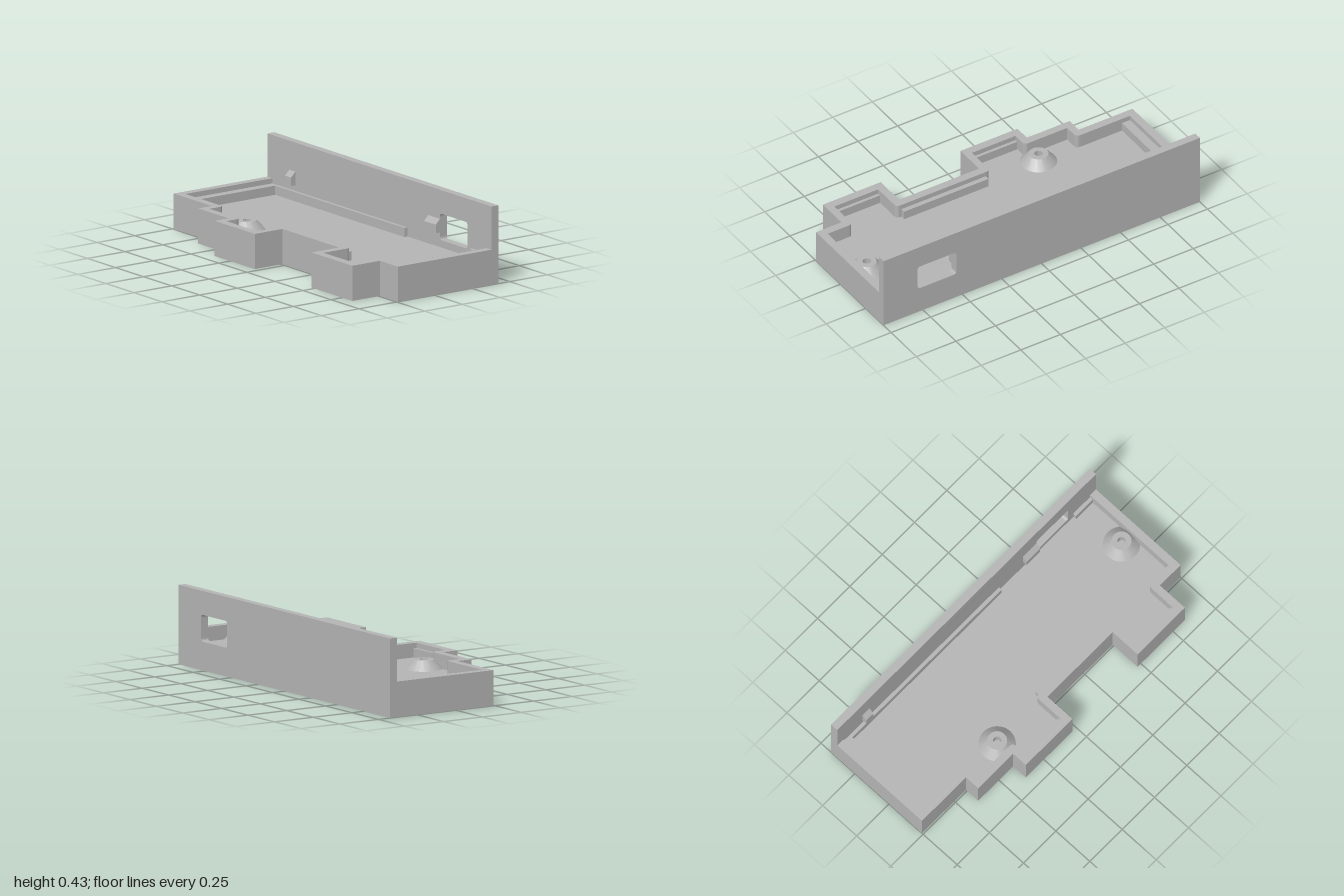
import * as THREE from 'three';
import { toCreasedNormals } from 'three/addons/utils/BufferGeometryUtils.js';

const FLOOR = 0.115, RIM = 0.193, LEDGE = 0.165, TOP = 0.43;
const BACK = -0.425, WALL = -0.38; // outer and inner face of the back wall

export function createModel() {
  const group = new THREE.Group();
  group.name = 'enclosureTray';
  const grey = new THREE.MeshStandardMaterial({ color: 0xb4b4b4 });
  grey.name = 'plain grey';

  const add = (name, geometry) => {
    const mesh = new THREE.Mesh(geometry, grey);
    mesh.name = name;
    group.add(mesh);
    return mesh;
  };

  // Plan shape from [x, z, cornerRadius] points
  const plan = (points) => {
    const shape = new THREE.Shape();
    const n = points.length;
    points.forEach(([x, z, r = 0], i) => {
      const p = new THREE.Vector2(x, -z);
      const toward = ([a, b]) => new THREE.Vector2(a, -b).sub(p).normalize().multiplyScalar(r).add(p);
      const start = r ? toward(points[(i + n - 1) % n]) : p;
      if (i === 0) shape.moveTo(start.x, start.y);
      else shape.lineTo(start.x, start.y);
      if (r) {
        const end = toward(points[(i + 1) % n]);
        shape.quadraticCurveTo(p.x, p.y, end.x, end.y);
      }
    });
    return shape;
  };
  const slab = (shape, y0, y1) => {
    const g = new THREE.ExtrudeGeometry(shape, { depth: y1 - y0, bevelEnabled: false, curveSegments: 5 });
    return g.rotateX(-Math.PI / 2).translate(0, y0, 0);
  };

  // Stepped outline of the tray, and the cavity inside it
  const outer = [
    [-1, WALL], [-1, 0.242], [-0.66, 0.242], [-0.66, 0.332], [-0.39, 0.332], [-0.39, 0.425],
    [-0.03, 0.425], [-0.03, 0.242], [0.475, 0.242], [0.475, 0.425], [0.84, 0.425],
    [0.84, 0.242], [1, 0.242], [1, WALL],
  ];
  const r = 0.025;
  const inner = [
    [-0.955, WALL], [-0.955, 0.197], [-0.617, 0.197, r], [-0.617, 0.288], [-0.347, 0.288, r],
    [-0.347, 0.378], [-0.072, 0.378], [-0.072, 0.197, r], [0.52, 0.197, r], [0.52, 0.378],
    [0.797, 0.378], [0.797, 0.197, r], [0.955, 0.197], [0.955, WALL],
  ];
  add('floor', slab(plan(outer), 0, FLOOR));
  add('rimWall', slab(plan([...outer, ...inner.reverse()]), FLOOR, RIM));

  // Tall back wall with a rounded window
  const wall = new THREE.Shape();
  wall.moveTo(-1, 0).lineTo(1, 0).lineTo(1, TOP).lineTo(-1, TOP).closePath();
  const [x0, x1, y0, y1, c] = [0.54, 0.785, 0.155, 0.3, 0.018];
  const opening = new THREE.Path();
  opening.moveTo(x0 + c, y0).lineTo(x1 - c, y0).quadraticCurveTo(x1, y0, x1, y0 + c)
    .lineTo(x1, y1 - c).quadraticCurveTo(x1, y1, x1 - c, y1)
    .lineTo(x0 + c, y1).quadraticCurveTo(x0, y1, x0, y1 - c)
    .lineTo(x0, y0 + c).quadraticCurveTo(x0, y0, x0 + c, y0);
  wall.holes.push(opening);
  add('backWall', new THREE.ExtrudeGeometry(wall, { depth: WALL - BACK, bevelEnabled: false, curveSegments: 5 })
    .translate(0, 0, BACK));

  // Low support ledges around the cavity: x range, z range
  const ledges = [
    ['leftLedge', -0.955, -0.905, WALL, 0.197],
    ['backLedge', -0.905, 0.25, WALL, -0.36],
    ['backCornerLedge', 0.825, 0.955, WALL, -0.36],
    ['frontLedge', -0.045, 0.49, 0.17, 0.197],
    ['bayLedge', -0.347, -0.072, 0.36, 0.378],
    ['bayLedge', 0.52, 0.797, 0.36, 0.378],
  ];
  for (const [name, xa, xb, za, zb] of ledges) {
    add(name, new THREE.BoxGeometry(xb - xa, LEDGE - FLOOR, zb - za))
      .position.set((xa + xb) / 2, (LEDGE + FLOOR) / 2, (za + zb) / 2);
  }

  // Conical screw bosses with a centre hole
  const profile = [[0.1, 0], [0.053, 0.052], [0.022, 0.052], [0.022, 0]].map(([a, b]) => new THREE.Vector2(a, b));
  for (const [x, z] of [[-0.387, 0.212], [0.89, -0.087]]) {
    add('screwBoss', toCreasedNormals(new THREE.LatheGeometry(profile, 32), 0.5)).position.set(x, FLOOR, z);
  }

  // Retaining clips with a sloped top, on the back wall
  for (const [xa, xb] of [[-0.805, -0.75], [0.435, 0.54]]) {
    const side = new THREE.Shape();
    side.moveTo(0, 0.195).lineTo(0, 0.27).lineTo(-0.028, 0.242).lineTo(-0.028, 0.195).closePath();
    add('wallClip', new THREE.ExtrudeGeometry(side, { depth: xb - xa, bevelEnabled: false })
      .rotateY(Math.PI / 2).translate(xa, 0, WALL));
  }
  return group;
}
